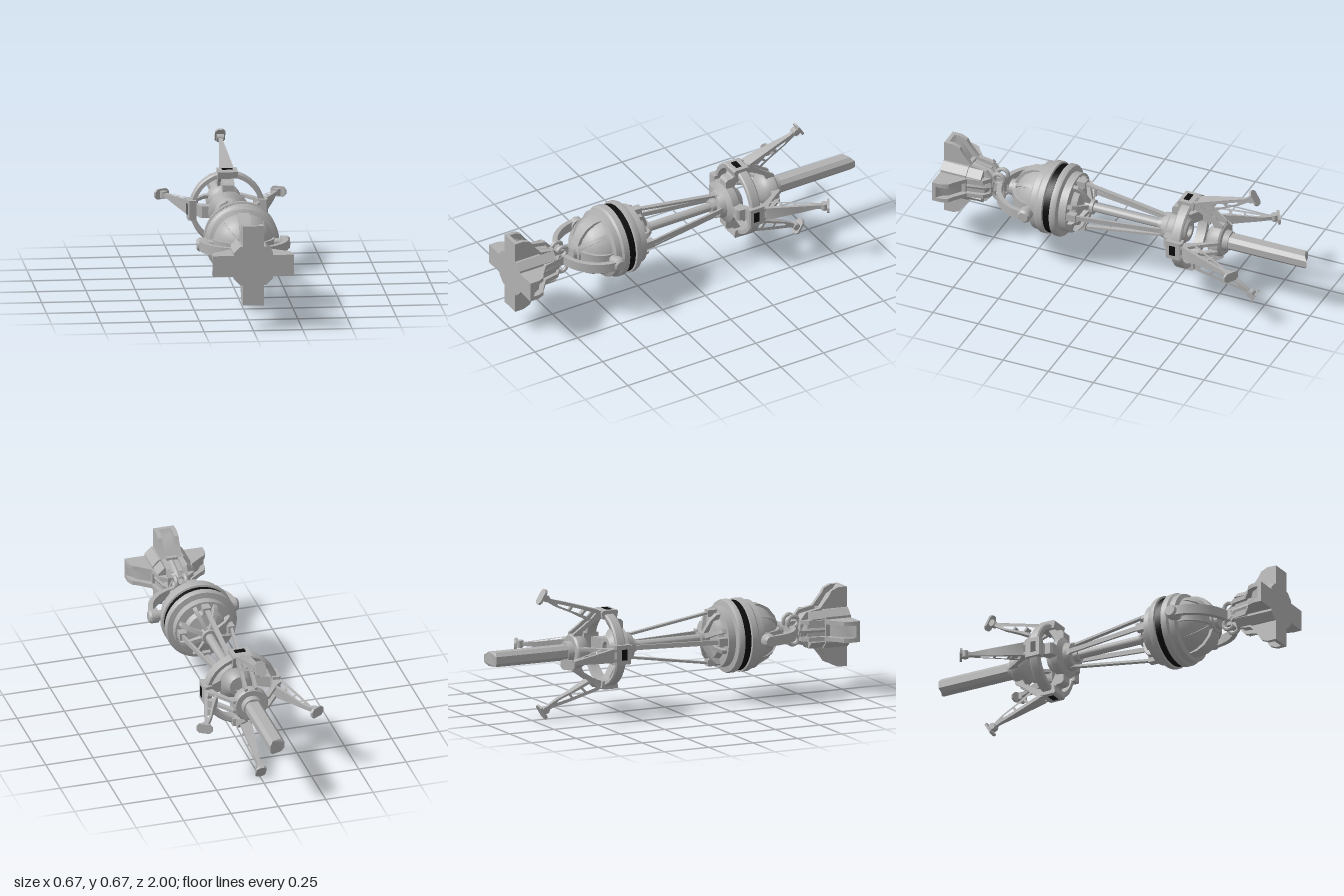
import * as THREE from 'three';
import { toCreasedNormals } from 'three/addons/utils/BufferGeometryUtils.js';

const grey = new THREE.MeshStandardMaterial({ color: 0xb2b2b2 });
grey.name = 'grey metal';
const black = new THREE.MeshStandardMaterial({ color: 0x0c0c0c });
black.name = 'black inlay';

function add(parent, name, geo, mat = grey) {
  const mesh = new THREE.Mesh(toCreasedNormals(geo, 0.55), mat);
  mesh.name = name;
  parent.add(mesh);
  return mesh;
}

const path = (pts) => pts.map(([x, y]) => new THREE.Vector2(x, y));

// Solid of revolution about z; points are [radius, z], rising in z
const turned = (pts, sides = 36) =>
  new THREE.LatheGeometry(path(pts), sides).rotateX(Math.PI / 2);

// Flat plate drawn in [radius, z], given a tangential width
function plate(pts, width, holes = []) {
  const shape = new THREE.Shape(path(pts));
  holes.forEach((h) => shape.holes.push(new THREE.Path(path(h))));
  return new THREE.ExtrudeGeometry(shape, { depth: width, bevelEnabled: false, curveSegments: 20 })
    .translate(0, 0, -width / 2).rotateX(Math.PI / 2);
}

const box = (w, h, d, x, y, z) => new THREE.BoxGeometry(w, h, d).translate(x, y, z);

// Repeat a builder around the z axis
function around(parent, name, count, build, offset = 0) {
  for (let i = 0; i < count; i++) {
    const g = new THREE.Group();
    g.name = name;
    g.rotation.z = offset + (i * Math.PI * 2) / count;
    build(g);
    parent.add(g);
  }
}

function addMount(body) {
  // Chamfered core block and tapered neck
  const a = 0.1, b = 0.066;
  const core = new THREE.Shape(path([[a, -b], [a, b], [b, a], [-b, a], [-a, b], [-a, -b], [-b, -a], [b, -a]]));
  add(body, 'mountCore', new THREE.ExtrudeGeometry(core, { depth: 0.14, bevelEnabled: false }).translate(0, 0, 0.86));
  add(body, 'mountNeck', turned([[0, 0.735], [0.05, 0.735], [0.075, 0.77], [0.092, 0.86], [0, 0.86]], 8));
  // Four cross arms with a sunken middle between two rails
  around(body, 'mountArm', 4, (g) => {
    const rail = [[0, 1], [0.205, 1], [0.205, 0.95], [0.19, 0.915], [0.165, 0.9], [0.105, 0.85], [0.09, 0.77], [0.055, 0.74], [0, 0.74]];
    for (const s of [-1, 1]) add(g, 'armRail', plate(rail, 0.022).translate(0, s * 0.043, 0));
    const web = [[0, 1], [0.205, 1], [0.205, 0.98], [0.18, 0.96], [0.16, 0.925], [0.09, 0.875], [0.07, 0.77], [0, 0.75]];
    add(g, 'armWeb', plate(web, 0.07));
  });
  around(body, 'mountLug', 4, (g) => add(g, 'lug', box(0.05, 0.05, 0.1, 0.085, 0, 0.83)), Math.PI / 4);
}

function addYoke(body) {
  // Paired link rings and pin
  for (const x of [-0.026, 0.026])
    for (const y of [-0.045, 0.045])
      add(body, 'linkRing', new THREE.TorusGeometry(0.028, 0.011, 8, 20).rotateY(Math.PI / 2).translate(x, y, 0.71));
  add(body, 'linkPin', new THREE.CylinderGeometry(0.024, 0.024, 0.08, 16).rotateZ(Math.PI / 2).translate(0, 0, 0.71));
  add(body, 'linkEye', box(0.035, 0.09, 0.06, 0, 0, 0.715));
  // Half-ring bracket round the front of the drum
  const half = new THREE.Shape();
  half.absarc(0, 0, 0.228, 0, Math.PI, false);
  half.absarc(0, 0, 0.203, Math.PI, 0, true);
  add(body, 'yoke', new THREE.ExtrudeGeometry(half, { depth: 0.05, bevelEnabled: false, curveSegments: 28 })
    .translate(0, 0, -0.025).rotateX(Math.PI / 2).translate(0, 0, 0.485));
  // Pivots on each side
  for (const s of [-1, 1]) {
    add(body, 'pivotAxle', new THREE.CylinderGeometry(0.025, 0.025, 0.1, 16).rotateZ(Math.PI / 2).translate(s * 0.17, 0, 0.485));
    add(body, 'pivotCap', turned([[0, -0.024], [0.036, -0.024], [0.036, 0.012], [0.026, 0.024], [0, 0.024]], 18)
      .rotateY(s * Math.PI / 2).translate(s * 0.212, 0, 0.485));
  }
}

function addDrum(body) {
  add(body, 'drum', turned([
    [0, 0.19], [0.038, 0.19], [0.04, 0.235], [0.105, 0.25], [0.115, 0.28], [0.155, 0.285], [0.155, 0.325],
    [0.183, 0.33], [0.188, 0.34], [0.188, 0.362], [0.175, 0.366], [0.175, 0.4], [0.188, 0.404], [0.188, 0.435],
    [0.178, 0.445], [0.176, 0.475], [0.155, 0.485], [0.145, 0.52], [0.122, 0.558], [0.085, 0.59], [0.06, 0.6],
    [0.055, 0.625], [0.042, 0.63], [0.042, 0.65], [0, 0.65]], 40));
  add(body, 'drumBand', turned([[0.174, 0.366], [0.179, 0.366], [0.179, 0.4], [0.174, 0.4]], 40), black);
  // Dome ribs in front, broad on the axes
  around(body, 'domeRib', 4, (g) => add(g, 'rib', plate(
    [[0.04, 0.58], [0.04, 0.622], [0.085, 0.605], [0.13, 0.568], [0.152, 0.525], [0.16, 0.47], [0.12, 0.47]], 0.06)));
  around(body, 'domeFin', 4, (g) => add(g, 'fin', plate(
    [[0.04, 0.58], [0.04, 0.615], [0.09, 0.598], [0.128, 0.563], [0.15, 0.52], [0.155, 0.47], [0.12, 0.47]], 0.02)), Math.PI / 4);
  // Rear ribs between sleeve and rim
  around(body, 'rearRib', 8, (g) => add(g, 'rib', plate(
    [[0.03, 0.26], [0.03, 0.205], [0.06, 0.215], [0.11, 0.235], [0.14, 0.26], [0.145, 0.29]], 0.02)), Math.PI / 8);
}

function addShaft(body) {
  add(body, 'shaft', turned([[0, -0.25], [0.023, -0.25], [0.023, 0.22], [0, 0.22]], 20));
  // Four flat stays converging on the rear hub
  around(body, 'stay', 4, (g) => {
    add(g, 'stayBar', plate([[0.05, -0.225], [0.062, -0.225], [0.14, 0.27], [0.128, 0.27]], 0.024));
    add(g, 'stayAnchor', box(0.034, 0.04, 0.05, 0.128, 0, 0.26));
    add(g, 'stayFoot', box(0.028, 0.036, 0.035, 0.054, 0, -0.215));
  });
}

function addRearHub(body) {
  // Socket that ends the shaft
  add(body, 'socket', turned([
    [0, -0.315], [0.03, -0.315], [0.032, -0.335], [0.055, -0.335], [0.075, -0.305], [0.1, -0.29], [0.105, -0.25],
    [0.075, -0.232], [0.065, -0.2], [0.036, -0.195], [0.034, -0.17], [0, -0.17]], 28));
  // Open outer ring
  add(body, 'outerRing', turned([
    [0.165, -0.36], [0.185, -0.365], [0.192, -0.358], [0.192, -0.317], [0.185, -0.31], [0.165, -0.31], [0.165, -0.36]], 36));
  // Rear knuckle
  add(body, 'knuckle', turned([
    [0, -0.565], [0.05, -0.565], [0.055, -0.535], [0.082, -0.535], [0.09, -0.525], [0.09, -0.495],
    [0.075, -0.465], [0.045, -0.445], [0, -0.44]], 24));
}

function addClaws(body) {
  around(body, 'claw', 4, (g) => {
    add(g, 'spoke', plate([[0.08, -0.29], [0.08, -0.25], [0.135, -0.25], [0.147, -0.262], [0.15, -0.29], [0.175, -0.315], [0.175, -0.345]], 0.06));
    add(g, 'ringBlock', plate([[0.16, -0.375], [0.195, -0.38], [0.203, -0.37], [0.203, -0.295], [0.195, -0.288], [0.16, -0.295]], 0.1));
    add(g, 'ringSlot', box(0.005, 0.055, 0.03, 0.203, 0, -0.328), black);
    // Twin struts joining ring and knuckle
    for (const s of [-1, 1])
      add(g, 'strut', plate([[0.165, -0.36], [0.203, -0.36], [0.2, -0.395], [0.165, -0.43], [0.118, -0.495], [0.095, -0.53],
        [0.06, -0.53], [0.07, -0.49], [0.105, -0.475], [0.145, -0.415]], 0.016).translate(0, s * 0.026, 0));
    // Tapered lattice finger
    const finger = plate(
      [[0.14, -0.415], [0.19, -0.375], [0.206, -0.39], [0.255, -0.55], [0.28, -0.64], [0.298, -0.67], [0.285, -0.685],
        [0.262, -0.655], [0.235, -0.61], [0.2, -0.53]], 0.07, [
        [[0.162, -0.425], [0.19, -0.4], [0.208, -0.455], [0.187, -0.475]],
        [[0.193, -0.487], [0.213, -0.468], [0.231, -0.528], [0.215, -0.54]],
        [[0.221, -0.552], [0.235, -0.54], [0.256, -0.615], [0.244, -0.605]]]);
    const p = finger.attributes.position;
    for (let i = 0; i < p.count; i++) {
      const t = THREE.MathUtils.clamp((-0.4 - p.getZ(i)) / 0.24, 0, 1);
      p.setY(i, p.getY(i) * (1 - 0.72 * t));
    }
    add(g, 'finger', finger);
    // Pivot and gripping pad
    add(g, 'padJoint', new THREE.CylinderGeometry(0.018, 0.018, 0.036, 14).translate(0.288, 0, -0.675));
    const c = 0.015, w = 0.026, l = 0.042;
    const pad = new THREE.Shape(path([[l, c - w], [l, w - c], [l - c, w], [c - l, w], [-l, w - c], [-l, c - w], [c - l, -w], [l - c, -w]]));
    add(g, 'pad', new THREE.ExtrudeGeometry(pad, { depth: 0.012, bevelEnabled: false })
      .translate(0, 0, -0.006).rotateY(-0.54).translate(0.2965, 0, -0.694));
  });
}

function addBlade(body) {
  // Long eight-sided bar with a slanted tip
  const bar = new THREE.Shape(path([[0.042, -0.018], [0.042, 0.018], [0.024, 0.037], [-0.024, 0.037],
    [-0.042, 0.018], [-0.042, -0.018], [-0.024, -0.037], [0.024, -0.037]]));
  const geo = new THREE.ExtrudeGeometry(bar, { depth: 0.5, bevelEnabled: false }).translate(0, 0, -1);
  const p = geo.attributes.position;
  for (let i = 0; i < p.count; i++)
    if (p.getZ(i) < -0.9)
      p.setZ(i, -1 + (0.042 - p.getX(i)) * 0.35 + (Math.abs(p.getY(i)) - 0.018) * 0.6);
  add(body, 'blade', geo);
}

export function createModel() {
  const model = new THREE.Group();
  model.name = 'graspingProbe';
  const body = new THREE.Group();
  body.name = 'body';
  body.position.y = 0.336;
  model.add(body);
  [addMount, addYoke, addDrum, addShaft, addRearHub, addClaws, addBlade].forEach((build) => build(body));
  return model;
}
